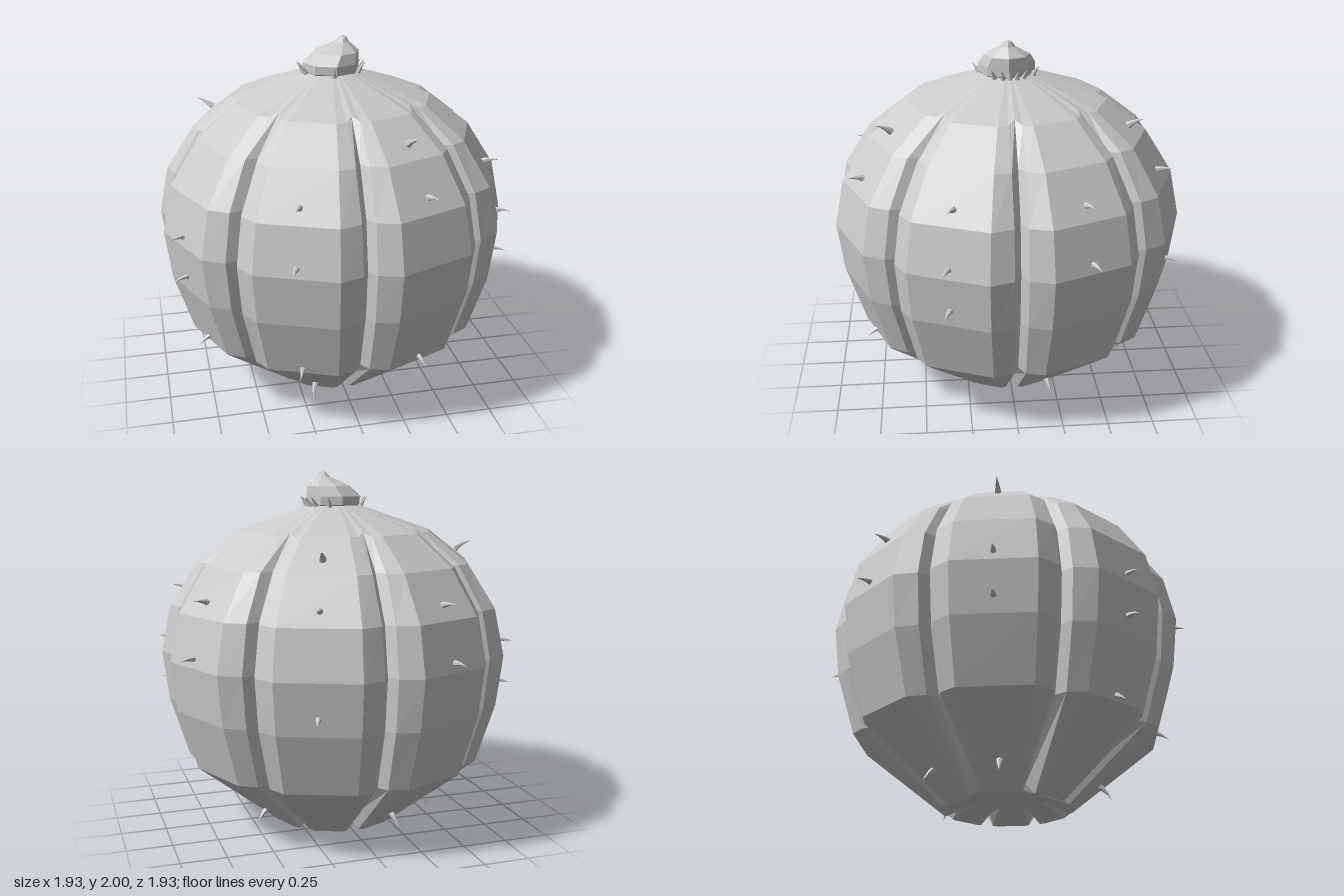
import * as THREE from 'three';

const material = new THREE.MeshStandardMaterial({ color: 0xcccccc, flatShading: true });
const LOBES = 8;
const STEP = (Math.PI * 2) / LOBES;

// Point at height y, radius r, angle a (0 = front, growing towards +x)
const polar = (a, r, y) => new THREE.Vector3(r * Math.sin(a), y, r * Math.cos(a));

// Body rows: height, ridge radius, groove lip radius, groove floor radius, groove floor lift
const ROWS = [
  [0.06, 0.2, 0.2, 0.2, 0],
  [0.0, 0.36, 0.35, 0.3, 0.06],
  [0.385, 0.84, 0.8, 0.74, 0],
  [0.72, 0.945, 0.9, 0.84, 0],
  [1.0, 0.98, 0.93, 0.87, 0],
  [1.26, 0.925, 0.88, 0.82, 0],
  [1.5, 0.77, 0.74, 0.68, 0],
  [1.67, 0.55, 0.53, 0.49, 0.02],
  [1.815, 0.13, 0.13, 0.13, 0],
];

// Ribbed body: eight lobes with V grooves between them
function makeBody() {
  const pos = [];
  const index = [];
  const n = LOBES * 5;
  for (const [y, ridge, lip, floor, lift] of ROWS) {
    const lipAngle = Math.min(0.036 / lip, 0.1);
    for (let k = 0; k < LOBES; k++) {
      const a = k * STEP;
      const points = [
        polar(a, floor, y + lift),
        polar(a + lipAngle, lip, y),
        polar(a + 0.164, ridge, y),
        polar(a + STEP - 0.164, ridge, y),
        polar(a + STEP - lipAngle, lip, y),
      ];
      for (const p of points) pos.push(p.x, p.y, p.z);
    }
  }
  for (let i = 0; i < ROWS.length - 1; i++) {
    for (let j = 0; j < n; j++) {
      const a = i * n + j;
      const b = i * n + ((j + 1) % n);
      index.push(a, b, b + n, a, b + n, a + n);
    }
  }
  // Underside of the hollow base
  const center = pos.length / 3;
  pos.push(0, 0.06, 0);
  for (let j = 0; j < n; j++) index.push(center, (j + 1) % n, j);
  const geo = new THREE.BufferGeometry();
  geo.setAttribute('position', new THREE.Float32BufferAttribute(pos, 3));
  geo.setIndex(index);
  const flat = geo.toNonIndexed();
  flat.computeVertexNormals();
  return flat;
}

// Curved thorn growing along +y, its tip bending towards +z
function makeThorn(length, radius) {
  const geo = new THREE.ConeGeometry(radius, length, 6, 3);
  geo.translate(0, length / 2 - 0.01, 0);
  const p = geo.attributes.position;
  for (let i = 0; i < p.count; i++) {
    const t = p.getY(i) / length;
    p.setZ(i, p.getZ(i) + 0.3 * length * t * t);
  }
  geo.computeVertexNormals();
  return geo;
}

// Place a thorn at angle a, pointing outwards and raised by tilt, tip bending down
function placeThorn(geo, name, a, r, y, tilt) {
  const mesh = new THREE.Mesh(geo, material);
  mesh.name = name;
  mesh.position.copy(polar(a, r, y));
  mesh.rotation.order = 'YXZ';
  mesh.rotation.set(Math.PI / 2 - tilt, a, 0);
  return mesh;
}

export function createModel() {
  const model = new THREE.Group();

  const body = new THREE.Mesh(makeBody(), material);
  body.name = 'ribbedBody';
  model.add(body);

  // Bud on top, its tip leaning to one side
  const budProfile = [[0.14, 1.8], [0.157, 1.815], [0.157, 1.86], [0.125, 1.915], [0.04, 1.965], [0.022, 1.99], [0, 2]];
  const budGeo = new THREE.LatheGeometry(budProfile.map(([r, y]) => new THREE.Vector2(r, y)), 8);
  const bp = budGeo.attributes.position;
  for (let i = 0; i < bp.count; i++) {
    const t = Math.max(0, (bp.getY(i) - 1.86) / 0.14);
    bp.setX(i, bp.getX(i) + 0.065 * Math.min(1, t * 1.2));
  }
  budGeo.computeVertexNormals();
  const bud = new THREE.Mesh(budGeo, material);
  bud.name = 'bud';
  model.add(bud);

  // Thorn levels: height, radius, upward tilt
  const levels = [
    [1.575, 0.69, 0.7],
    [1.335, 0.85, 0.4],
    [1.05, 0.935, 0.2],
    [0.815, 0.925, 0.1],
    [0.42, 0.81, -0.25],
    [0.12, 0.5, -0.6],
  ];
  // Levels that carry a thorn on each lobe, starting left of the front groove
  const lobes = [[0, 1, 4], [1, 2, 3], [1, 2, 5], [0, 1, 3], [1, 2, 5], [0, 2, 3, 5], [2, 3, 4], [1, 2, 4, 5]];
  const thorns = new THREE.Group();
  thorns.name = 'thorns';
  const thornGeo = makeThorn(0.1, 0.02);
  lobes.forEach((list, k) => {
    for (const l of list) {
      const [y, r, tilt] = levels[l];
      thorns.add(placeThorn(thornGeo, 'thorn', (k + 0.5) * STEP, r, y, tilt));
    }
  });
  model.add(thorns);

  // Small upright thorns around the bud
  const budThorns = new THREE.Group();
  budThorns.name = 'budThorns';
  const smallGeo = makeThorn(0.075, 0.018);
  for (const deg of [-6, 60, 78, 92, 106, 122, 154, 255, 270, 285]) {
    budThorns.add(placeThorn(smallGeo, 'budThorn', THREE.MathUtils.degToRad(deg), 0.152, 1.805, 1.2));
  }
  model.add(budThorns);

  return model;
}
